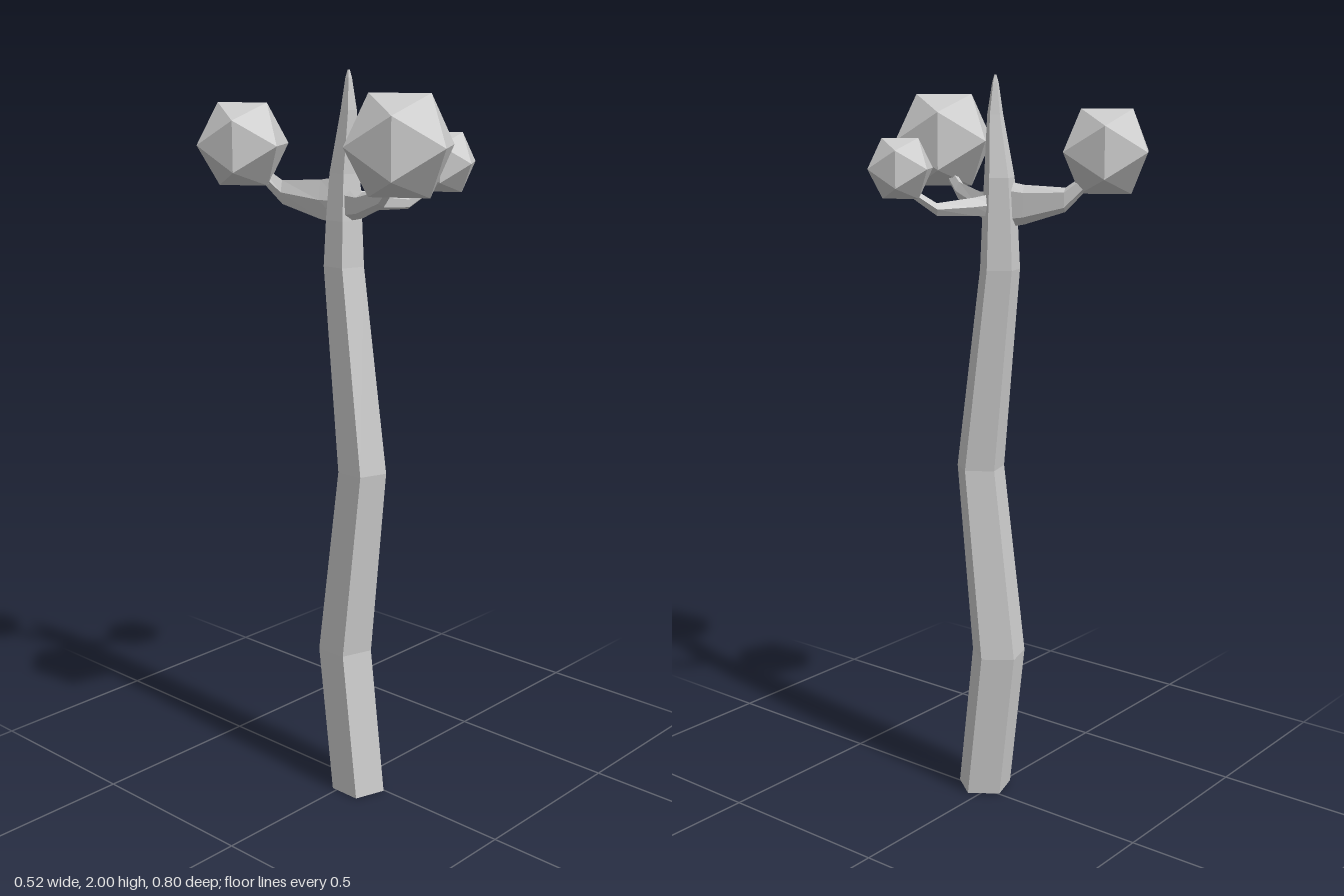
import * as THREE from 'three';
import { ConvexGeometry } from 'three/addons/geometries/ConvexGeometry.js';

const SIDES = 5;
const V = (x, y, z) => new THREE.Vector3(x, y, z);

// Point at angle k of a five-sided ring spanned by the axes u and v
function ringPoint(c, u, v, k) {
  const a = (k / SIDES) * Math.PI * 2;
  return c.clone().addScaledVector(u, Math.cos(a)).addScaledVector(v, Math.sin(a));
}

// Closed faceted skin over rings { c, u, v }, where u x v points along the sweep
function skin(rings) {
  const pos = [];
  const tri = (...pts) => pts.forEach((p) => pos.push(p.x, p.y, p.z));
  const last = rings.length - 1;
  const P = (i, k) => ringPoint(rings[i].c, rings[i].u, rings[i].v, k);
  for (let k = 0; k < SIDES; k++) {
    for (let i = 0; i < last; i++) {
      tri(P(i, k), P(i, k + 1), P(i + 1, k + 1));
      tri(P(i, k), P(i + 1, k + 1), P(i + 1, k));
    }
    tri(rings[0].c, P(0, k + 1), P(0, k));
    tri(rings[last].c, P(last, k), P(last, k + 1));
  }
  const geo = new THREE.BufferGeometry();
  geo.setAttribute('position', new THREE.Float32BufferAttribute(pos, 3));
  geo.computeVertexNormals();
  return geo;
}

// Branch: a tapering sweep; each station is [x, y, z, half width, half height]
function branchGeometry(stations) {
  const first = stations[0], end = stations[stations.length - 1];
  const dir = V(end[0] - first[0], 0, end[2] - first[2]).normalize();
  const side = V(0, 1, 0).cross(dir);
  return skin(stations.map(([x, y, z, w, h]) => ({
    c: V(x, y, z), u: side.clone().multiplyScalar(w), v: V(0, h, 0),
  })));
}

// Twenty-sided foliage ball with its poles on the z axis
function ballGeometry(r) {
  const pts = [V(0, 0, r), V(0, 0, -r)];
  const ringR = r * 2 / Math.sqrt(5), h = r / Math.sqrt(5);
  for (let k = 0; k < 5; k++) {
    const a = (k / 5) * Math.PI * 2;
    pts.push(V(Math.cos(a) * ringR, Math.sin(a) * ringR, h));
    pts.push(V(-Math.cos(a) * ringR, -Math.sin(a) * ringR, -h));
  }
  return new ConvexGeometry(pts);
}

export function createModel() {
  const group = new THREE.Group();
  const mat = new THREE.MeshStandardMaterial({ color: 0xcccccc, flatShading: true });
  const add = (name, geo) => {
    const mesh = new THREE.Mesh(geo, mat);
    mesh.name = name;
    group.add(mesh);
    return mesh;
  };

  // Crooked trunk ending in a spike: [x, y, z, radius]
  const trunk = [
    [-0.027, 0, 0.03, 0.077],
    [-0.027, 0.42, -0.02, 0.077],
    [-0.028, 0.95, 0.045, 0.068],
    [-0.026, 1.5, -0.023, 0.056],
    [-0.024, 1.62, -0.024, 0.05],
    [-0.02, 1.74, -0.025, 0.042],
    [-0.024, 1.9, -0.008, 0.022],
    [-0.026, 1.98, -0.007, 0.009],
    [-0.026, 2, -0.007, 0.003],
  ];
  add('trunk', skin(trunk.map(([x, y, z, r]) => ({ c: V(x, y, z), u: V(r, 0, 0), v: V(0, 0, -r) }))));

  // Three branches, each carrying a ball
  const limbs = [
    {
      name: 'front', ball: [-0.13, 1.828, 0.254], r: 0.1455,
      path: [[-0.035, 1.66, -0.01, 0.02, 0.045], [-0.055, 1.665, 0.06, 0.018, 0.035],
        [-0.085, 1.695, 0.16, 0.015, 0.026], [-0.115, 1.75, 0.23, 0.012, 0.02]],
    },
    {
      name: 'back', ball: [-0.147, 1.808, -0.274], r: 0.126,
      path: [[-0.03, 1.67, -0.03, 0.022, 0.065], [-0.048, 1.67, -0.085, 0.02, 0.054],
        [-0.085, 1.685, -0.19, 0.016, 0.033], [-0.12, 1.745, -0.25, 0.012, 0.02]],
    },
    {
      name: 'side', ball: [0.178, 1.765, 0.143], r: 0.0905,
      path: [[-0.01, 1.67, -0.01, 0.018, 0.03], [0.03, 1.665, 0.02, 0.017, 0.025],
        [0.11, 1.66, 0.08, 0.014, 0.017], [0.17, 1.71, 0.125, 0.01, 0.013]],
    },
  ];
  for (const { name, ball, r, path } of limbs) {
    add(name + 'Branch', branchGeometry(path));
    add(name + 'FoliageBall', ballGeometry(r)).position.set(...ball);
  }
  return group;
}
